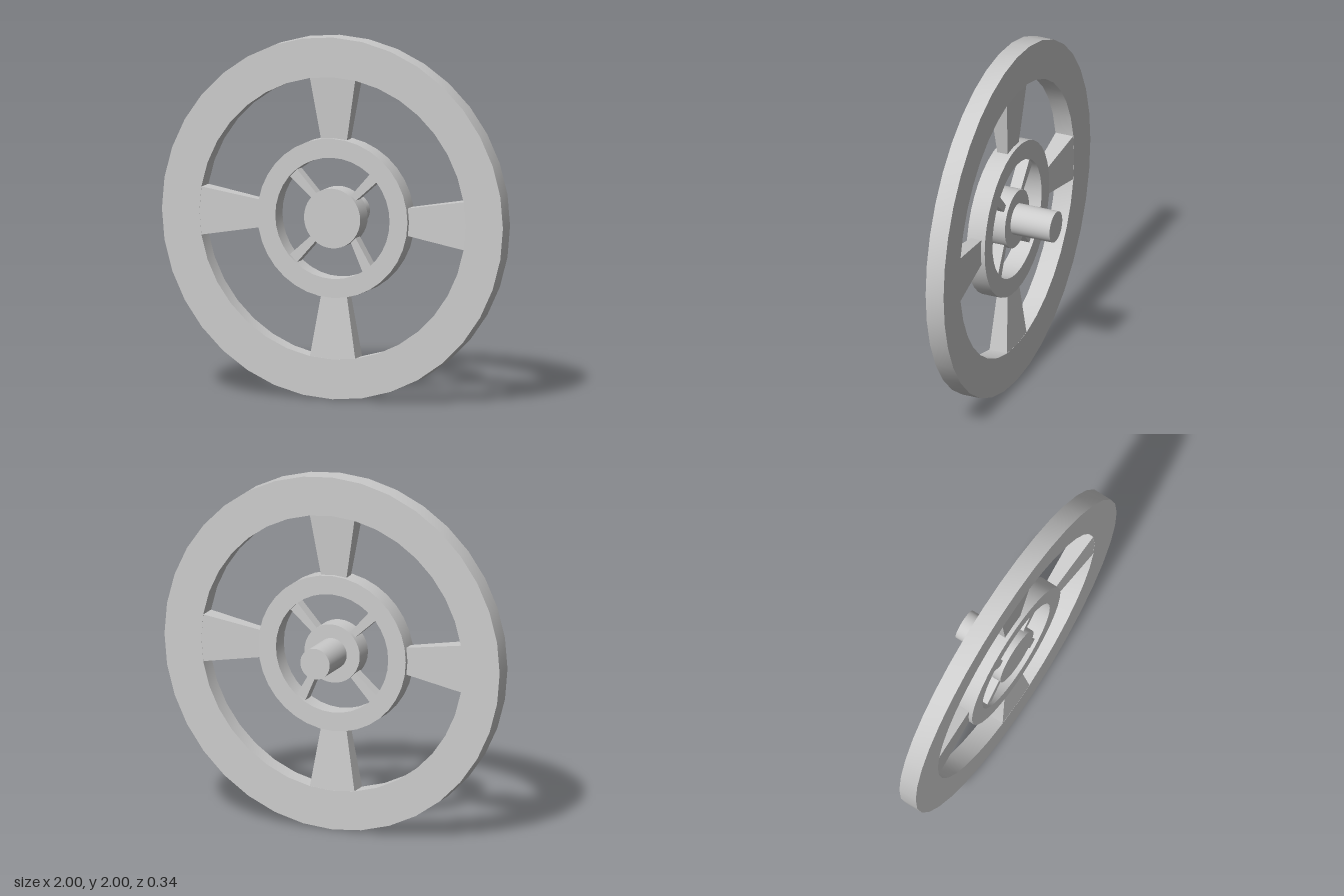
import * as THREE from 'three';
import { toCreasedNormals } from 'three/addons/utils/BufferGeometryUtils.js';

const SIDES = 36;
const BACK = 0.06, FRONT = 0.167, MID = (BACK + FRONT) / 2;
const rad = THREE.MathUtils.degToRad;
const material = new THREE.MeshStandardMaterial({ color: 0xcccccc });

function part(name, geometry) {
  const mesh = new THREE.Mesh(geometry, material);
  mesh.name = name;
  return mesh;
}

// Square-section ring around the z axis
function ring(inner, outer) {
  const profile = [[outer, BACK], [outer, FRONT], [inner, FRONT], [inner, BACK], [outer, BACK]]
    .map(([r, z]) => new THREE.Vector2(r, z));
  return toCreasedNormals(new THREE.LatheGeometry(profile, SIDES).rotateX(Math.PI / 2), 0.6);
}

// Solid round bar along z
function bar(radius, z0, z1) {
  return new THREE.CylinderGeometry(radius, radius, z1 - z0, SIDES)
    .rotateX(Math.PI / 2)
    .translate(0, 0, (z0 + z1) / 2);
}

// Box bent into a wedge; each end has a radius, centre angle, half angle and half depth
function wedge(innerEnd, outerEnd) {
  const geometry = new THREE.BoxGeometry(2, 2, 2);
  const p = geometry.attributes.position;
  for (let i = 0; i < p.count; i++) {
    const end = p.getX(i) > 0 ? outerEnd : innerEnd;
    const a = rad(end.angle + p.getY(i) * end.spread);
    p.setXYZ(i, end.r * Math.cos(a), end.r * Math.sin(a), MID + p.getZ(i) * end.depth);
  }
  const flat = geometry.toNonIndexed();
  flat.computeVertexNormals();
  return flat;
}

export function createModel() {
  const wheel = new THREE.Group();
  wheel.name = 'wheel';
  wheel.position.y = 1;

  wheel.add(part('rim', ring(0.78, 1)));
  wheel.add(part('innerRing', ring(0.335, 0.44)));
  wheel.add(part('hub', bar(0.165, BACK, 0.172)));
  wheel.add(part('axle', bar(0.0875, -0.172, BACK + 0.01)));

  for (let i = 0; i < 4; i++) {
    // Broad spokes, thinning toward the inner ring
    const angle = i * 90;
    wheel.add(part('outerSpoke', wedge(
      { r: 0.43, angle, spread: 10, depth: 0.03 },
      { r: 0.795, angle, spread: 9.8, depth: 0.053 })));

    // Narrow diagonal spokes; the lower right one is skewed
    const diagonal = angle + 45;
    const skew = i === 3 ? -10 : 0;
    wheel.add(part('innerSpoke', wedge(
      { r: 0.155, angle: diagonal, spread: 7, depth: 0.033 },
      { r: 0.342, angle: diagonal + skew, spread: 5, depth: 0.033 })));
  }

  const model = new THREE.Group();
  model.name = 'spokedWheel';
  model.add(wheel);
  return model;
}
